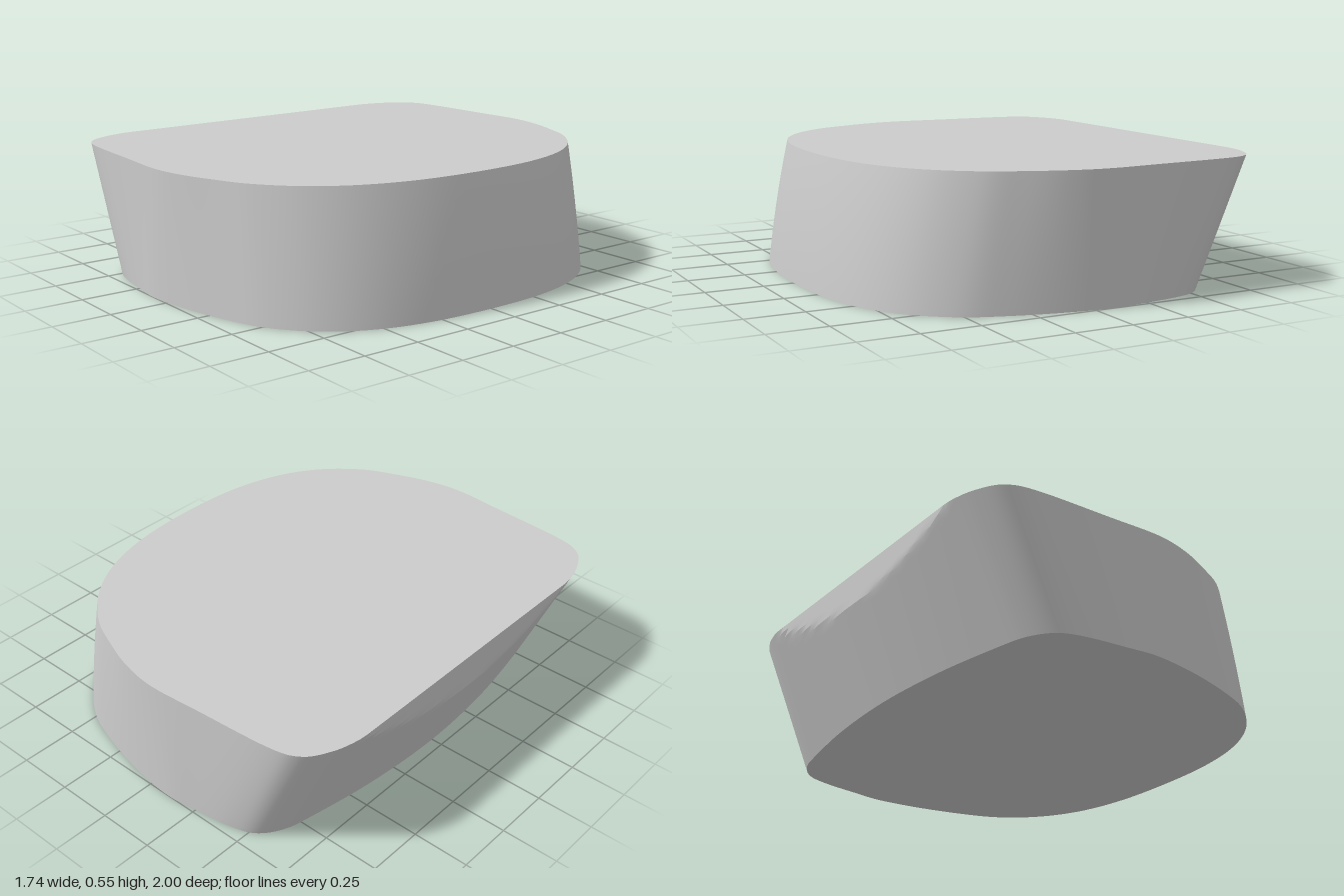
import * as THREE from 'three';
import { toCreasedNormals, mergeVertices } from 'three/addons/utils/BufferGeometryUtils.js';

const HEIGHT = 0.55, BACK = -0.87, ROWS = 22, SEGMENTS = 180;

// Half outline from the round end to the flat end: [z, x at top, x at bottom]
const HALF = [
  [0, 0.778, 0.866], [0.29, 0.758, 0.85], [0.53, 0.69, 0.79], [0.715, 0.575, 0.68],
  [0.85, 0.42, 0.52], [0.92, 0.27, 0.345], [0.975, 0.11, 0.12], [1, -0.06, -0.09],
  [0.985, -0.3, -0.24], [0.96, -0.64, -0.41], [0.92, -0.765, -0.52], [0.83, -0.83, -0.59],
  [0.7, -0.868, -0.625], [0.37, -0.915, -0.678], [0, -0.934, -0.7],
];

// Closed smooth outline, mirrored in z
function outline(column) {
  const right = HALF.map(p => new THREE.Vector3(p[column], 0, p[0]));
  const left = right.slice(1, -1).reverse().map(p => new THREE.Vector3(p.x, 0, -p.z));
  const curve = new THREE.CatmullRomCurve3([...right, ...left], true, 'catmullrom', 0.5);
  return Array.from({ length: SEGMENTS }, (_, i) => curve.getPoint(i / SEGMENTS));
}

function makeGeometry(positions, index) {
  const geometry = new THREE.BufferGeometry();
  geometry.setAttribute('position', new THREE.Float32BufferAttribute(positions, 3));
  geometry.setIndex(index);
  return geometry;
}

export function createModel() {
  const group = new THREE.Group();
  group.name = 'slantedBlock';
  const material = new THREE.MeshStandardMaterial({ color: 0xcccccc });
  const add = (name, geometry) => {
    const mesh = new THREE.Mesh(geometry, material);
    mesh.name = name;
    group.add(mesh);
  };

  // Rings between the two outlines, trimmed by the upright back plane
  const top = outline(1), bottom = outline(2), rings = [];
  for (let r = 0; r <= ROWS; r++) {
    const t = r / ROWS;
    rings.push(bottom.map((b, i) => {
      const bulge = 0.01 * 4 * t * (1 - t) * Math.max(0, b.x);
      const x = THREE.MathUtils.lerp(b.x, top[i].x, t) + bulge;
      const z = THREE.MathUtils.lerp(b.z, top[i].z, t);
      return [Math.max(BACK, x), t * HEIGHT, THREE.MathUtils.clamp(z, -1, 1)];
    }));
  }

  // Side wall
  const index = [];
  for (let r = 0; r < ROWS; r++) {
    for (let i = 0; i < SEGMENTS; i++) {
      const j = (i + 1) % SEGMENTS;
      const a = r * SEGMENTS + i, b = r * SEGMENTS + j;
      const c = a + SEGMENTS, d = b + SEGMENTS;
      index.push(a, c, b, b, c, d);
    }
  }
  const wall = makeGeometry(rings.flat(2), index);
  add('sideWall', mergeVertices(toCreasedNormals(wall, 0.3)));

  // Flat caps as fans around the centre
  const cap = (ring, up) => {
    const fan = [];
    for (let i = 0; i < SEGMENTS; i++) {
      const cur = i + 1, next = (i + 1) % SEGMENTS + 1;
      fan.push(0, ...(up ? [next, cur] : [cur, next]));
    }
    const geometry = makeGeometry([[0, ring[0][1], 0], ...ring].flat(), fan);
    geometry.computeVertexNormals();
    return geometry;
  };
  add('topFace', cap(rings[ROWS], true));
  add('bottomFace', cap(rings[0], false));
  return group;
}
